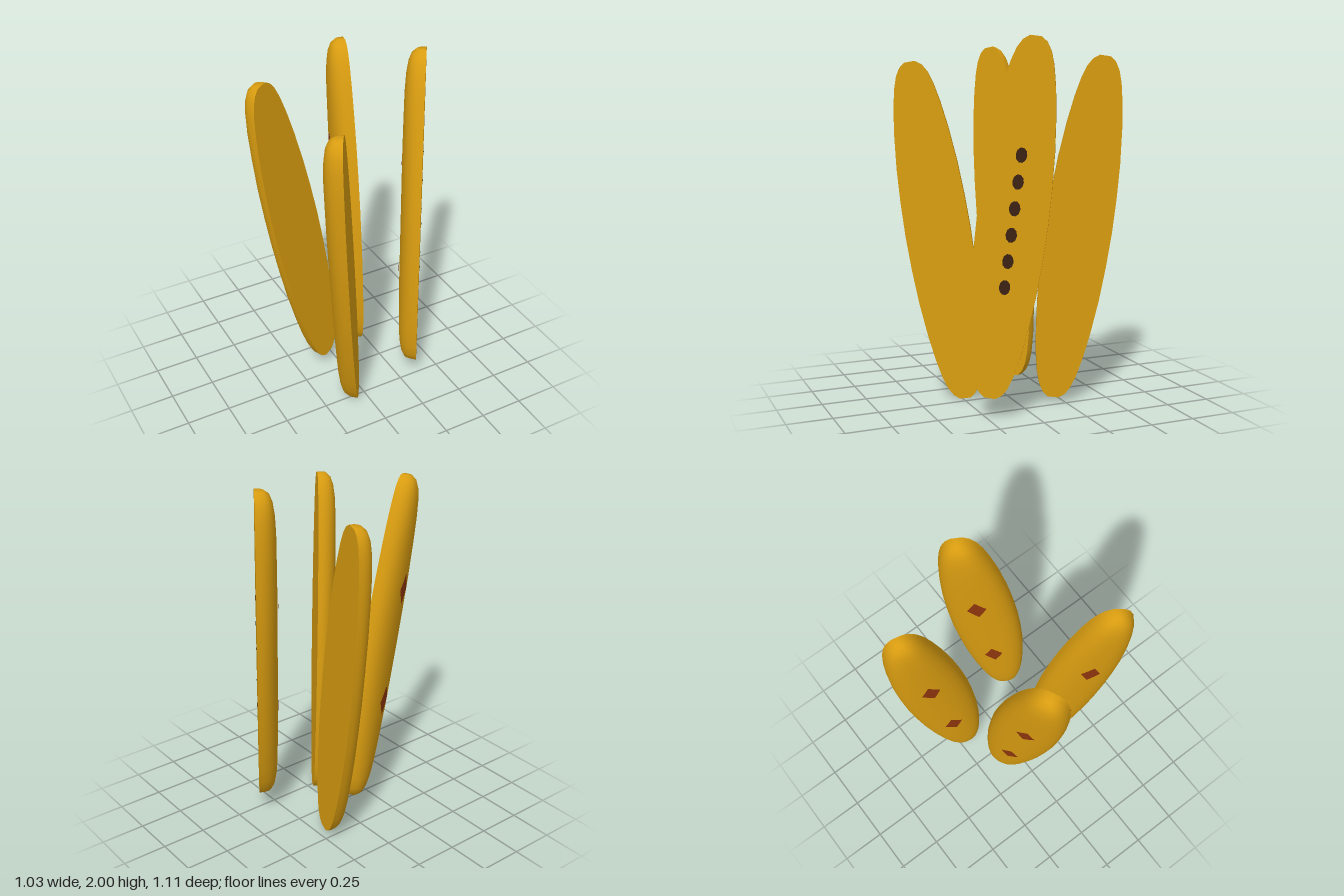
import * as THREE from 'three';

const HALF = 0.945; // half length of a slat
const E = 2.4;      // roundness exponent of the domed back

// Half outline: [position along the slat 0..1, half width, thickness]
const HALF_PROFILE = [
  [0, 0.186, 0.112], [0.2, 0.182, 0.112], [0.4, 0.172, 0.112], [0.6, 0.153, 0.11],
  [0.75, 0.132, 0.108], [0.86, 0.11, 0.102], [0.93, 0.088, 0.092], [0.975, 0.062, 0.076], [1, 0.03, 0.05],
];
const PROFILE = [
  ...HALF_PROFILE.slice(1).reverse().map(([s, w, t]) => [-s, w, t]),
  ...HALF_PROFILE,
];

// Geometry from a grid of points, rows along +y and columns from +x to -x
function gridGeometry(rows) {
  const n = rows[0].length, index = [];
  for (let i = 0; i < rows.length - 1; i++) {
    for (let j = 0; j < n - 1; j++) {
      const a = i * n + j, c = a + n;
      index.push(a, a + 1, c, a + 1, c + 1, c);
    }
  }
  const g = new THREE.BufferGeometry();
  g.setAttribute('position', new THREE.Float32BufferAttribute(rows.flat(2), 3));
  g.setIndex(index);
  g.computeVertexNormals();
  return g;
}

// Domed back: half superellipse sections, closed at both tips
function domeGeometry() {
  const sections = [[-1, 0, 0], ...PROFILE, [1, 0, 0]];
  return gridGeometry(sections.map(([s, w, t]) => {
    const row = [];
    for (let j = 0; j <= 20; j++) {
      const a = (j / 20) * Math.PI, c = Math.cos(a);
      row.push([
        w * Math.sign(c) * Math.abs(c) ** (2 / E),
        s * HALF,
        -t * Math.max(0, Math.sin(a)) ** (2 / E),
      ]);
    }
    return row;
  }));
}

// Flat front face
function faceGeometry() {
  const right = PROFILE.map(([s, w]) => new THREE.Vector2(w, s * HALF));
  const left = PROFILE.map(([s, w]) => new THREE.Vector2(-w, s * HALF)).reverse();
  return new THREE.ShapeGeometry(new THREE.Shape([...right, ...left]));
}

// Height of the dome above the flat face
function domeHeight(x, y) {
  const s = Math.abs(y) / HALF;
  const k = HALF_PROFILE.findIndex((p) => p[0] >= s) || 1;
  const [s0, w0, t0] = HALF_PROFILE[k - 1], [s1, w1, t1] = HALF_PROFILE[k];
  const f = (s - s0) / (s1 - s0);
  const w = w0 + (w1 - w0) * f, t = t0 + (t1 - t0) * f;
  return t * (1 - (Math.abs(x) / w) ** E) ** (1 / E);
}

// Diamond skin lying on the dome
function diamondGeometry(cy) {
  const rows = [];
  for (let i = -4; i <= 4; i++) {
    const y = cy + (i / 4) * 0.09, w = 0.052 * (1 - Math.abs(i) / 4);
    const row = [];
    for (let j = 4; j >= -4; j--) {
      const x = (j / 4) * w;
      row.push([x, y, -domeHeight(x, y) - 0.004]);
    }
    rows.push(row);
  }
  return gridGeometry(rows);
}

export function createModel() {
  const gold = new THREE.MeshStandardMaterial({ color: 0xd89c10 });
  const russet = new THREE.MeshStandardMaterial({ color: 0x8f360d });
  const darkBrown = new THREE.MeshStandardMaterial({ color: 0x3a2213 });
  gold.name = 'gold';
  russet.name = 'russet';
  darkBrown.name = 'darkBrown';

  const add = (parent, name, geometry, material) => {
    const mesh = new THREE.Mesh(geometry, material);
    mesh.name = name;
    parent.add(mesh);
    return mesh;
  };

  const dome = domeGeometry(), face = faceGeometry();
  const diamonds = [-0.33, 0.33].map(diamondGeometry);

  // Each slat: bottom tip, top tip and horizontal direction of its width
  const slats = [
    ['backRightSlat', [-0.07, 0.095, -0.085], [-0.43, 1.95, -0.08], [0.88, 0, -0.47]],
    ['frontRightSlat', [-0.045, 0.005, 0.23], [-0.27, 1.87, 0.46], [0.54, 0, -0.84]],
    ['backLeftSlat', [0.2, 0.03, -0.19], [0.24, 1.905, -0.47], [0.26, 0, -0.965]],
    ['frontLeftSlat', [0.34, 0.12, 0.24], [0.45, 2.0, 0.03], [0.55, 0, -0.83]],
  ];

  const model = new THREE.Group();
  model.name = 'slatSet';
  for (const [name, b, t, w] of slats) {
    const bottom = new THREE.Vector3(...b), top = new THREE.Vector3(...t);
    const axis = top.clone().sub(bottom).normalize();
    const wide = new THREE.Vector3(...w);
    wide.addScaledVector(axis, -wide.dot(axis)).normalize();
    const front = wide.clone().cross(axis);

    const slat = new THREE.Group();
    slat.name = name;
    slat.quaternion.setFromRotationMatrix(new THREE.Matrix4().makeBasis(wide, axis, front));
    slat.position.copy(bottom).add(top).multiplyScalar(0.5).addScaledVector(front, 0.018);
    add(slat, 'domedBack', dome, gold);
    add(slat, 'flatFace', face, gold);
    diamonds.forEach((g) => add(slat, 'diamond', g, russet));

    // Column of plain oval marks on one flat face
    if (name === 'frontLeftSlat') {
      const oval = new THREE.CircleGeometry(1, 10);
      for (let i = 0; i < 6; i++) {
        const mark = add(slat, 'mark', oval, darkBrown);
        mark.scale.set(0.03, 0.04, 1);
        mark.position.set(0.005, -0.345 + i * 0.138, 0.003);
      }
    }
    model.add(slat);
  }
  return model;
}
